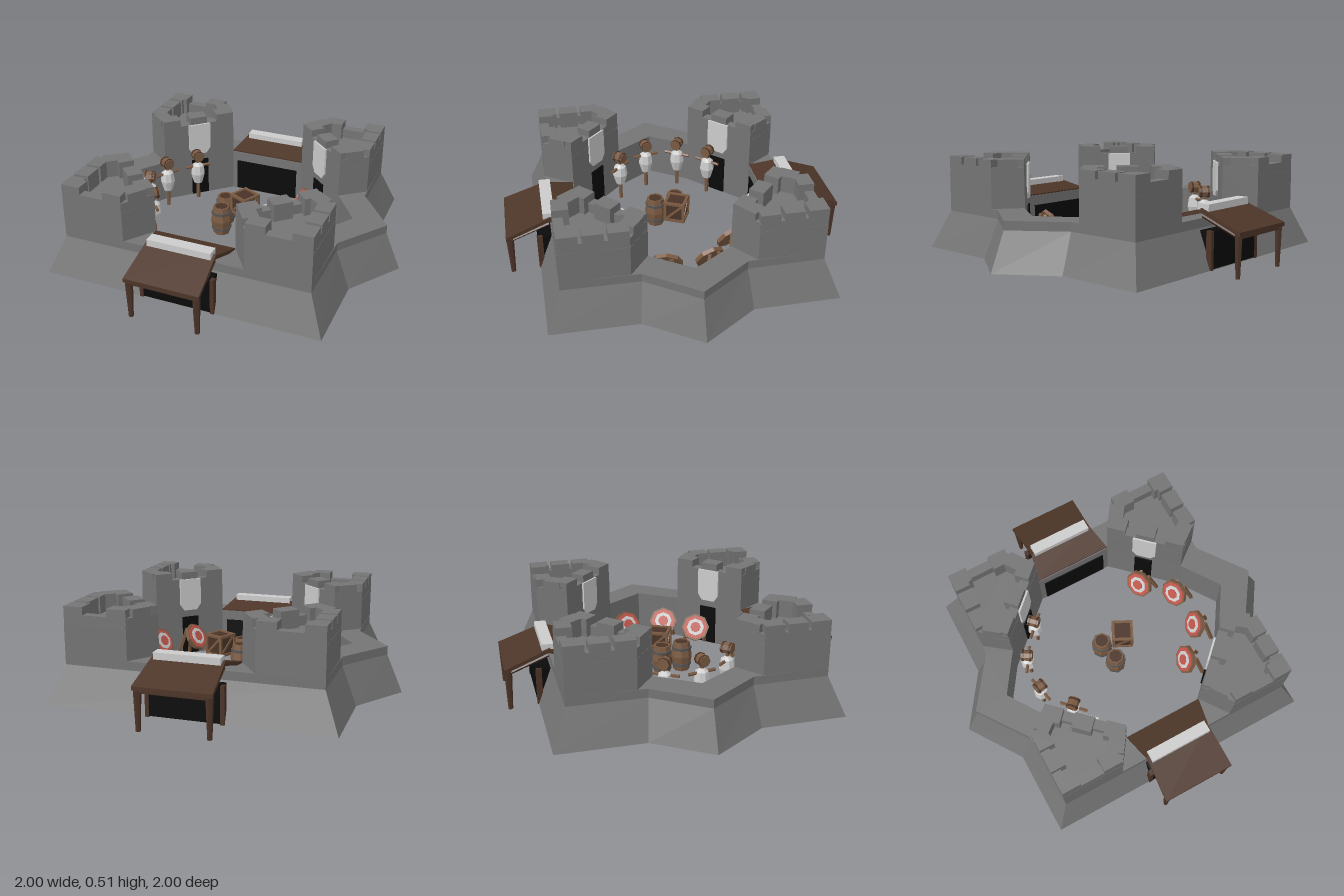
import * as THREE from 'three';

const mat = (color) => new THREE.MeshStandardMaterial({ color, flatShading: true, side: THREE.DoubleSide });
const stone = mat(0x747474), pale = mat(0xcccccc), roofWood = mat(0x4d3528), wood = mat(0x7a5a42);
const darkWood = mat(0x4a3327), black = mat(0x0a0a0a), red = mat(0xc0554a), white = mat(0xd8d8d4), iron = mat(0x555555);

function add(parent, name, geo, material, x = 0, y = 0, z = 0, ry = 0) {
  const m = new THREE.Mesh(geo, material);
  m.name = name;
  m.position.set(x, y, z);
  m.rotation.y = ry;
  parent.add(m);
  return m;
}
const box = (w, h, d) => new THREE.BoxGeometry(w, h, d);

// Straight bar between two points
function bar(parent, name, a, b, r, material, sides = 4) {
  const p = new THREE.Vector3(...a), q = new THREE.Vector3(...b), d = q.clone().sub(p);
  const m = add(parent, name, new THREE.CylinderGeometry(r, r, d.length(), sides), material);
  m.position.copy(p).add(q).multiplyScalar(0.5);
  m.quaternion.setFromUnitVectors(new THREE.Vector3(0, 1, 0), d.normalize());
}

// Star-shaped ring wall: quarter outlines mirrored into full loops, joined by height
function ringWall() {
  const loop = ([c, n, t]) => {
    const q = [c, n, t, [n[0], -n[1]], [c[0], -c[1]]];
    return [...q, ...q.map(([x, z]) => [-x, -z])];
  };
  const base = loop([[0.73, 0.724], [0.733, 0.28], [0.923, 0]]);
  const top = loop([[0.65, 0.65], [0.655, 0.26], [0.84, 0]]);
  const inner = loop([[0.215, 0.5], [0.527, 0.2], [0.66, 0]]);
  const rings = [[base, 0.02], [top, 0.215], [top, 0.26], [inner, 0.26], [inner, 0.02]];
  const pos = [], idx = [], n = base.length, k = rings.length;
  for (const [pts, y] of rings) for (const [x, z] of pts) pos.push(x, y, z);
  for (let r = 0; r < k; r++) for (let i = 0; i < n; i++) {
    const j = (i + 1) % n, s = (r + 1) % k;
    const a = r * n + i, b = r * n + j, c = s * n + j, d = s * n + i;
    idx.push(a, c, b, a, d, c);
  }
  const g = new THREE.BufferGeometry();
  g.setAttribute('position', new THREE.Float32BufferAttribute(pos, 3));
  g.setIndex(idx);
  const flat = g.toNonIndexed();
  flat.computeVertexNormals();
  return flat;
}

// Corner tower: sunken floor, parapet with merlons, a door and a hanging banner
function tower(sx, sz) {
  const g = new THREE.Group();
  g.name = 'tower';
  const pts = [[0.32, 0.65], [0.65, 0.65], [0.652, 0.31], [0.52, 0.207], [0.215, 0.5]]
    .map(([x, z]) => new THREE.Vector2(x * sx, z * sz));
  const shape = new THREE.Shape(pts.map((p) => new THREE.Vector2(p.x, -p.y)));
  const body = new THREE.ExtrudeGeometry(shape, { depth: 0.16, bevelEnabled: false }).rotateX(-Math.PI / 2);
  add(g, 'towerBody', body, stone, 0, 0.26, 0);
  const mid = new THREE.Vector2(0.48 * sx, 0.46 * sz);
  const counts = [2, 3, 1, 3, 1];
  pts.forEach((a, i) => {
    const b = pts[(i + 1) % 5], len = a.distanceTo(b), dir = b.clone().sub(a).normalize();
    const inw = new THREE.Vector2(-dir.y, dir.x);
    if (inw.dot(mid.clone().sub(a)) < 0) inw.negate();
    const at = (s, inset) => a.clone().addScaledVector(dir, s).addScaledVector(inw, inset);
    const ry = Math.atan2(inw.x, inw.y);
    const w = at(len / 2, 0.026);
    add(g, 'parapet', box(len - 0.002, 0.05, 0.05), stone, w.x, 0.445, w.y, ry);
    for (let k = 0; k < counts[i]; k++) {
      const s = counts[i] === 1 ? len / 2 : 0.051 + (k * (len - 0.102)) / (counts[i] - 1);
      const p = at(s, 0.041);
      add(g, 'merlon', box(0.1, 0.09, 0.08), stone, p.x, 0.465, p.y, ry);
    }
    if (i === 3) {
      const p = at(len / 2, -0.002), q = at(len / 2, -0.01);
      add(g, 'towerDoor', box(0.1, 0.22, 0.012), black, p.x, 0.135, p.y, ry);
      const s = new THREE.Shape([[-0.065, 0.47], [0.065, 0.47], [0.065, 0.32], [0.04, 0.285], [-0.04, 0.285], [-0.065, 0.32]]
        .map((v) => new THREE.Vector2(...v)));
      add(g, 'banner', new THREE.ExtrudeGeometry(s, { depth: 0.01, bevelEnabled: false }), pale, q.x, 0, q.y, ry);
    }
  });
  return g;
}

// Sloping roof slab that tapers from (z0,y0,w0) to (z1,y1,w1)
function slab(z0, y0, w0, z1, y1, w1) {
  const g = box(1, 0.02, 1), p = g.attributes.position;
  for (let i = 0; i < p.count; i++) {
    const k = p.getZ(i) + 0.5;
    p.setXYZ(i, p.getX(i) * (w0 + (w1 - w0) * k), p.getY(i) + y0 + (y1 - y0) * k, z0 + (z1 - z0) * k);
  }
  g.computeVertexNormals();
  return g;
}

// Gatehouse: dark passage, pitched roof, ridge cap and two porch posts
function gate() {
  const g = new THREE.Group();
  g.name = 'gate';
  add(g, 'gatePassage', box(0.37, 0.18, 0.232), black, 0, 0.115, 0.611);
  add(g, 'porchRoof', slab(0.65, 0.3, 0.36, 0.885, 0.212, 0.39), roofWood);
  add(g, 'innerRoof', slab(0.505, 0.257, 0.43, 0.66, 0.297, 0.36), roofWood);
  add(g, 'innerFascia', box(0.43, 0.035, 0.015), darkWood, 0, 0.237, 0.508);
  add(g, 'ridgeCap', box(0.335, 0.04, 0.06), pale, 0, 0.31, 0.66);
  add(g, 'porchBeam', box(0.37, 0.025, 0.02), darkWood, 0, 0.2, 0.865);
  for (const s of [-1, 1]) {
    add(g, 'porchPost', new THREE.CylinderGeometry(0.02, 0.012, 0.21, 6), darkWood, s * 0.174, 0.105, 0.865);
    bar(g, 'rafter', [s * 0.175, 0.195, 0.87], [s * 0.17, 0.275, 0.66], 0.012, darkWood);
    add(g, 'doorJamb', box(0.02, 0.19, 0.03), darkWood, s * 0.188, 0.115, 0.715);
  }
  return g;
}

// Round archery target leaning back on two legs
function target() {
  const g = new THREE.Group();
  g.name = 'archeryTarget';
  const face = new THREE.Group();
  face.name = 'targetFace';
  [[0.08, wood], [0.07, red], [0.05, white], [0.03, red]].forEach(([r, m], i) => {
    add(face, 'targetRing', new THREE.CylinderGeometry(r, r, 0.02, 8).rotateX(Math.PI / 2), m, 0, 0, i * 0.004);
  });
  face.position.y = 0.15;
  face.rotation.x = -0.5;
  g.add(face);
  for (const s of [-1, 1]) bar(g, 'rearLeg', [s * 0.06, 0.03, -0.09], [s * 0.025, 0.2, -0.045], 0.012, wood);
  return g;
}

// Training dummy: post, stuffed body, crossbar arms and keg head
function dummy() {
  const g = new THREE.Group();
  g.name = 'trainingDummy';
  bar(g, 'post', [0, 0.03, 0], [0, 0.28, 0], 0.011, wood, 6);
  const body = [[0, 0.12], [0.025, 0.13], [0.042, 0.19], [0.034, 0.24], [0, 0.265]].map((p) => new THREE.Vector2(...p));
  add(g, 'stuffedBody', new THREE.LatheGeometry(body, 8), white);
  bar(g, 'arms', [-0.075, 0.235, 0], [0.075, 0.235, 0], 0.009, wood, 5);
  const head = add(g, 'head', new THREE.CylinderGeometry(0.03, 0.03, 0.06, 8), wood, 0, 0.3, 0);
  head.rotation.x = Math.PI / 2;
  for (const s of [-1, 1]) add(g, 'headBand', new THREE.CylinderGeometry(0.032, 0.032, 0.01, 8).rotateX(Math.PI / 2), darkWood, 0, 0.3, s * 0.02);
  return g;
}

function barrel() {
  const g = new THREE.Group();
  g.name = 'barrel';
  const prof = [[0, 0.06], [0.044, 0.06], [0.057, 0.14], [0.044, 0.22], [0.036, 0.22], [0.036, 0.212], [0, 0.212]];
  add(g, 'staves', new THREE.LatheGeometry(prof.map((p) => new THREE.Vector2(...p)), 8), wood);
  add(g, 'lid', new THREE.CylinderGeometry(0.036, 0.036, 0.006, 8), darkWood, 0, 0.213, 0);
  for (const y of [0.095, 0.185]) add(g, 'hoop', new THREE.CylinderGeometry(0.054, 0.054, 0.014, 8), iron, 0, y, 0);
  return g;
}

// Crate with raised frame and diagonal braces
function crate() {
  const g = new THREE.Group();
  g.name = 'crate';
  add(g, 'crateBody', box(0.1, 0.1, 0.1), darkWood);
  for (const a of [-0.05, 0.05]) for (const b of [-0.05, 0.05]) {
    add(g, 'crateEdge', box(0.114, 0.014, 0.014), wood, 0, a, b);
    add(g, 'crateEdge', box(0.014, 0.114, 0.014), wood, a, 0, b);
    add(g, 'crateEdge', box(0.014, 0.014, 0.114), wood, a, b, 0);
  }
  for (let i = 0; i < 4; i++) {
    const side = new THREE.Group();
    side.name = 'crateBrace';
    add(side, 'brace', box(0.13, 0.012, 0.008), wood, 0, 0, 0.05).rotation.z = Math.PI / 4;
    side.rotation.y = (i * Math.PI) / 2;
    g.add(side);
  }
  return g;
}

export function createModel() {
  const model = new THREE.Group();
  model.name = 'starFort';

  // Masonry, turned so the gates lie on a diagonal
  const fort = new THREE.Group();
  fort.name = 'fortWalls';
  fort.rotation.y = 0.555;
  add(fort, 'ringWall', ringWall(), stone);
  for (const sx of [-1, 1]) for (const sz of [-1, 1]) fort.add(tower(sx, sz));
  const front = gate(), back = gate();
  back.rotation.y = Math.PI;
  fort.add(front, back);
  model.add(fort);

  // Courtyard props: x, z, turn
  const place = (obj, x, z, ry = 0, y = 0) => {
    obj.position.set(x, y, z);
    obj.rotation.y = ry;
    model.add(obj);
  };
  for (const [x, z, ry] of [[0.11, -0.38, -0.62], [0.31, -0.335, -0.73], [0.43, -0.15, -1.28], [0.385, 0.06, -1.26]]) place(target(), x, z, ry);
  for (const [x, z, ry] of [[-0.45, -0.06, 1.34], [-0.47, 0.135, 1.57], [-0.385, 0.3, -0.8], [-0.205, 0.385, -0.25]]) place(dummy(), x, z, ry);
  place(barrel(), -0.08, 0);
  place(barrel(), 0, 0.085, 0.3);
  place(crate(), 0.03, -0.05, 0.1, 0.205);
  return model;
}
